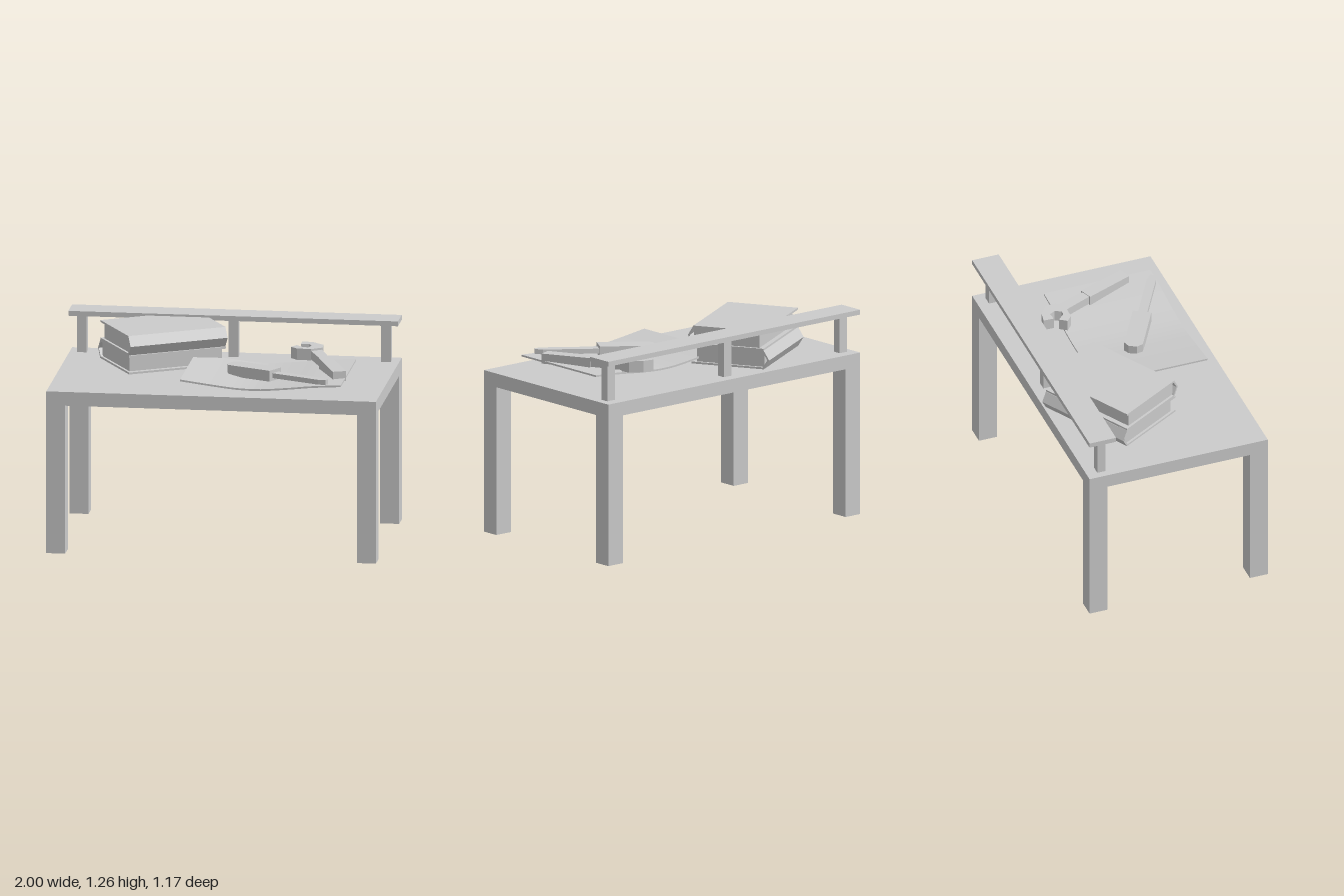
import * as THREE from 'three';

const material = new THREE.MeshStandardMaterial({ color: 0xcccccc, side: THREE.DoubleSide, flatShading: true });

function add(parent, name, geometry) {
  const mesh = new THREE.Mesh(geometry, material);
  mesh.name = name;
  parent.add(mesh);
  return mesh;
}

// Box given by its minimum and maximum corners
function box(parent, name, [x0, y0, z0], [x1, y1, z1]) {
  const mesh = add(parent, name, new THREE.BoxGeometry(x1 - x0, y1 - y0, z1 - z0));
  mesh.position.set((x0 + x1) / 2, (y0 + y1) / 2, (z0 + z1) / 2);
  return mesh;
}

// Plan outline of [x, z] points raised from y0 to y1, sloping gently along x and z
function slab(parent, name, outline, y0, y1, slopeX = 0, slopeZ = 0) {
  const shape = new THREE.Shape(outline.map(([x, z]) => new THREE.Vector2(x, -z)));
  const geometry = new THREE.ExtrudeGeometry(shape, { depth: y1 - y0, bevelEnabled: false });
  geometry.rotateX(-Math.PI / 2).translate(0, y0, 0);
  const p = geometry.attributes.position;
  for (let i = 0; i < p.count; i++) p.setY(i, p.getY(i) + slopeX * p.getX(i) + slopeZ * p.getZ(i));
  geometry.computeVertexNormals();
  return add(parent, name, geometry);
}

// Book with a folded cover and a page block; the spine points along +z
function book(name, height, back, front) {
  const group = new THREE.Group();
  group.name = name;
  const length = 0.63, t = 0.012, fold = 0.035;
  const profile = [
    [back, 0], [front - fold, 0], [front, height / 2], [front - fold, height], [back, height],
    [back, height - t], [front - fold - t / 2, height - t], [front - t, height / 2],
    [front - fold - t / 2, t], [back, t],
  ];
  const shape = new THREE.Shape(profile.map(([z, y]) => new THREE.Vector2(-z, y)));
  const cover = new THREE.ExtrudeGeometry(shape, { depth: length, bevelEnabled: false });
  cover.translate(0, 0, -length / 2).rotateY(Math.PI / 2);
  add(group, 'bookCover', cover);
  box(group, 'bookPages', [-length / 2 + 0.015, t, back + 0.03], [length / 2 - 0.015, height - t, front - fold]);
  return group;
}

export function createModel() {
  const model = new THREE.Group();
  model.name = 'workbench';

  // Table
  box(model, 'tableTop', [-1, 0.915, -0.56], [1, 1, 0.585]);
  for (const x of [-1, 0.885])
    for (const z of [-0.56, 0.47])
      box(model, 'tableLeg', [x, 0, z], [x + 0.115, 0.915, z + 0.115]);

  // Raised rear shelf
  box(model, 'shelf', [-1, 1.235, -0.56], [1, 1.265, -0.39]);
  for (const x of [-0.925, -0.005, 0.92])
    box(model, 'shelfPost', [x - 0.03, 1, -0.493], [x + 0.03, 1.235, -0.44]);

  // Two stacked books, the lower one turned around
  const books = new THREE.Group();
  books.name = 'books';
  books.position.set(-0.405, 0, -0.21);
  books.rotation.y = Math.PI / 6;
  const lower = book('lowerBook', 0.115, -0.245, 0.25);
  lower.position.y = 1.017;
  lower.rotation.y = Math.PI;
  const upper = book('upperBook', 0.12, -0.213, 0.268);
  upper.position.y = 1.132;
  books.add(lower, upper);
  model.add(books);

  // Curled sheet of paper
  const curl = new THREE.SplineCurve([
    [-0.2, 1.068], [0, 1.042], [0.15, 1.026], [0.29, 1.024], [0.45, 1.037], [0.6, 1.053], [0.775, 1.064],
  ].map(([x, y]) => new THREE.Vector2(x, y))).getPoints(20);
  const edge = [...curl, ...curl.map((p) => new THREE.Vector2(p.x, p.y + 0.011)).reverse()];
  const sheet = new THREE.ExtrudeGeometry(new THREE.Shape(edge), { depth: 0.685, bevelEnabled: false });
  add(model, 'paperSheet', sheet.translate(0, 0, -0.185));

  // Screwdriver, pointing along its own +x
  const screwdriver = new THREE.Group();
  screwdriver.name = 'screwdriver';
  screwdriver.position.set(0.05, 0, 0.113);
  screwdriver.rotation.y = -Math.PI / 6;
  slab(screwdriver, 'screwdriverHandle', [
    [0, -0.025], [0.03, -0.057], [0.345, -0.057], [0.345, 0.057], [0.03, 0.057], [0, 0.025],
  ], 1.033, 1.1, 0.03);
  slab(screwdriver, 'screwdriverShaft', [
    [0.345, -0.028], [0.69, -0.028], [0.735, -0.012], [0.735, 0.012], [0.69, 0.028], [0.345, 0.028],
  ], 1.05, 1.08, 0.03);
  model.add(screwdriver);

  // Open-ended wrench
  const wrench = new THREE.Group();
  wrench.name = 'wrench';
  slab(wrench, 'wrenchGrip', [[0.705, 0.337], [0.78, 0.31], [0.655, 0.01], [0.58, 0.04]], 1.064, 1.126, 0, -0.025);
  slab(wrench, 'wrenchNeck', [[0.59, 0.04], [0.645, 0.015], [0.568, -0.18], [0.508, -0.14]], 1.07, 1.122, 0, -0.025);
  slab(wrench, 'wrenchJaw', [
    [0.508, -0.14], [0.572, -0.185], [0.567, -0.25], [0.5, -0.303], [0.43, -0.316], [0.43, -0.25],
    [0.48, -0.257], [0.5, -0.22], [0.485, -0.18], [0.455, -0.18], [0.41, -0.225], [0.38, -0.18], [0.42, -0.145],
  ], 1.064, 1.134, 0, -0.025);
  model.add(wrench);

  return model;
}
